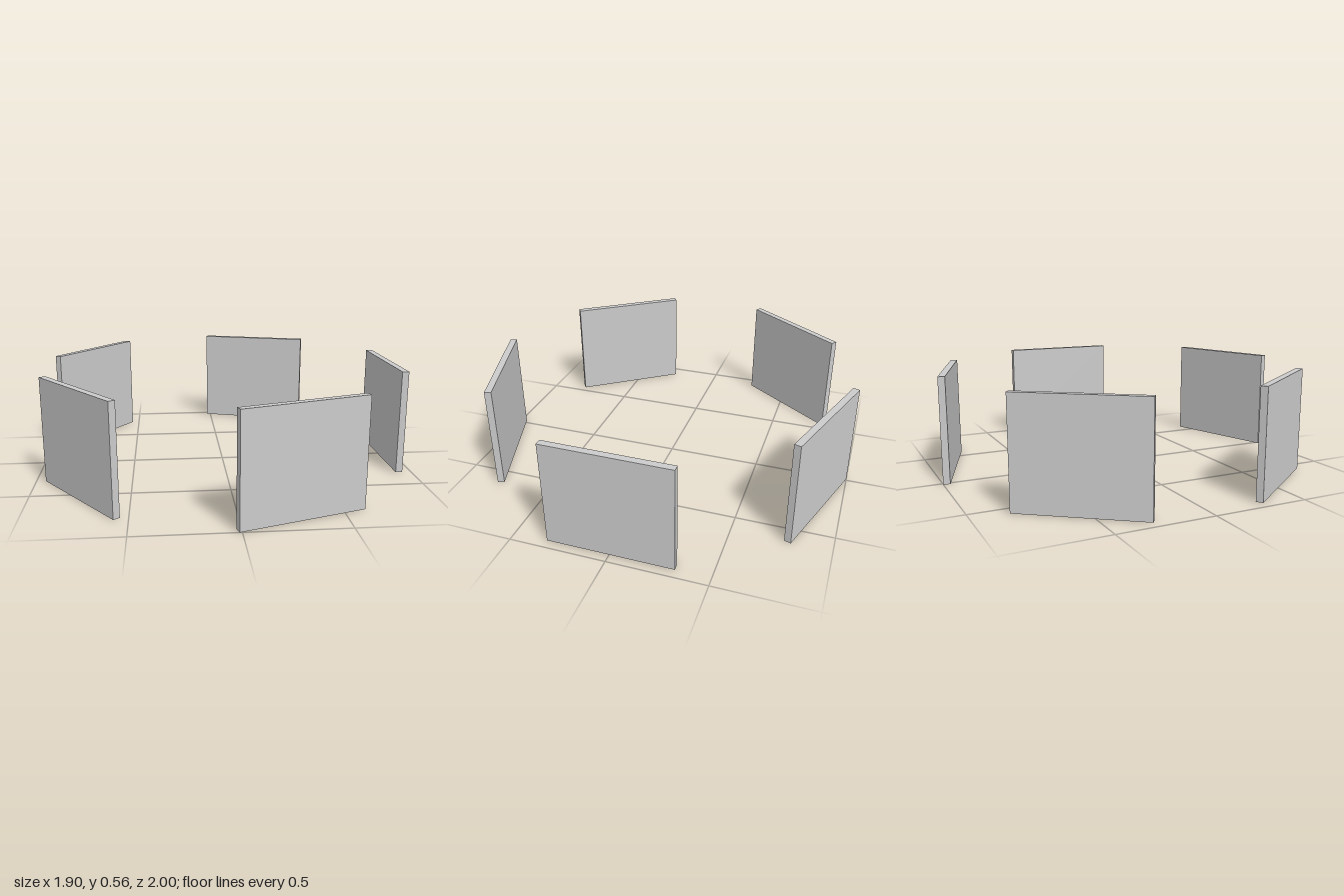
import * as THREE from 'three';

export function createModel() {
  const model = new THREE.Group();
  model.name = 'panelRing';

  const count = 5, radius = 0.928, centreX = 0.005;
  const thickness = 0.036, height = 0.555, width = 0.65;

  const material = new THREE.MeshStandardMaterial({ color: 0xcccccc, flatShading: true });
  const geometry = new THREE.BoxGeometry(thickness, height, width);

  // Upright panels evenly spaced on a circle, each facing the centre
  for (let i = 0; i < count; i++) {
    const angle = (i / count) * Math.PI * 2;
    const panel = new THREE.Mesh(geometry, material);
    panel.name = `panel${i + 1}`;
    panel.position.set(centreX + radius * Math.cos(angle), height / 2, radius * Math.sin(angle));
    panel.rotation.y = -angle;
    model.add(panel);
  }
  return model;
}
